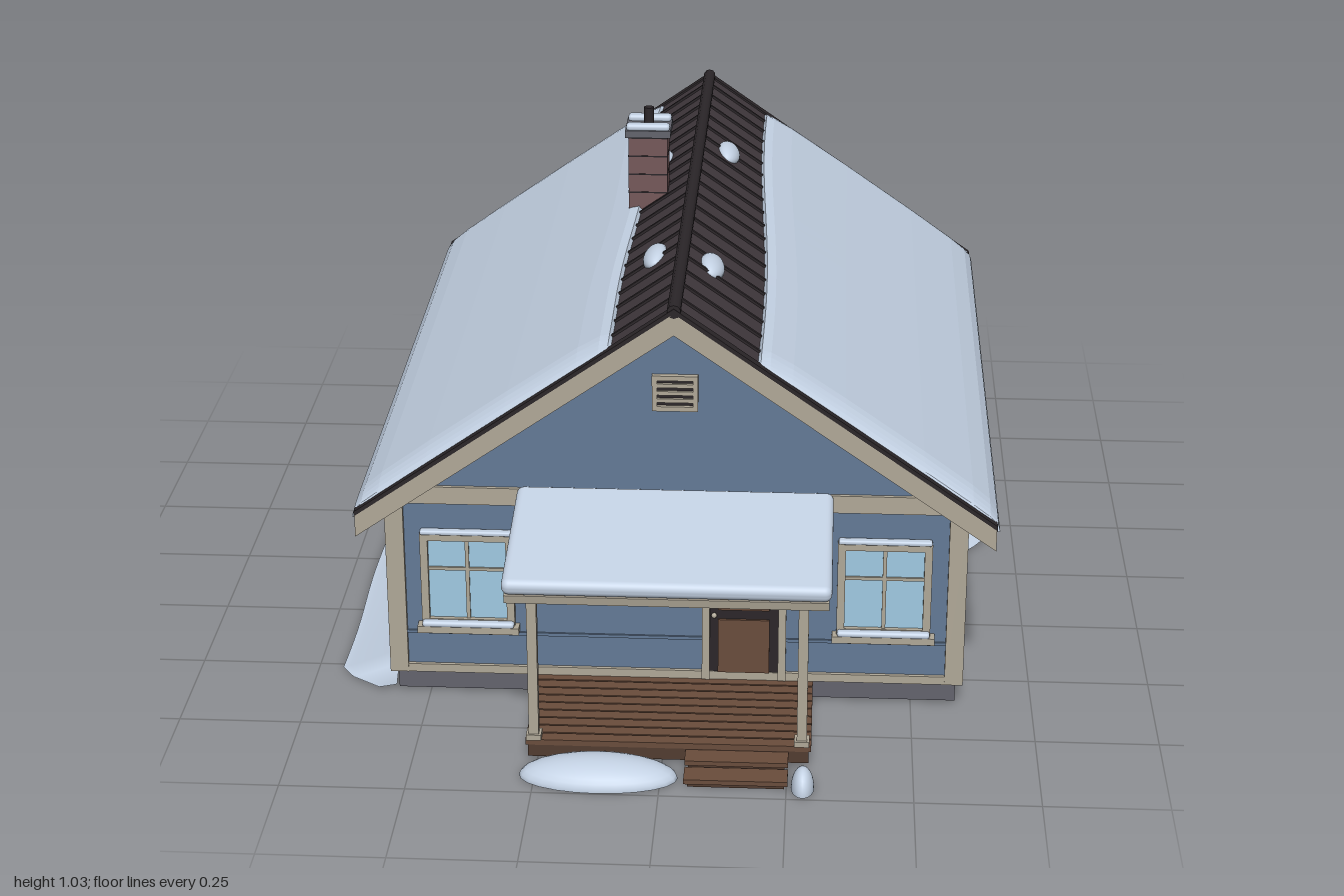
import * as THREE from 'three';
import { RoundedBoxGeometry } from 'three/addons/geometries/RoundedBoxGeometry.js';
import { ParametricGeometry } from 'three/addons/geometries/ParametricGeometry.js';

const paint = (color, side = THREE.FrontSide) => new THREE.MeshStandardMaterial({ color, side });
const WALL = paint(0x647a96), TRIM = paint(0xb0a898), ROOF = paint(0x40383d), DARK = paint(0x2b2629),
  WOOD = paint(0x6a4d3c), DECK = paint(0x523c31), GLASS = paint(0xa0cae2), BRICK = paint(0x75585a),
  STONE = paint(0x63646d), FLOOR = paint(0x3a2e26), SNOW = paint(0xc4d2e4, THREE.DoubleSide);

// House proportions, measured from the house's own centre line
const HW = 0.585, ZF = 0.606, ZB = -0.863, RIDGE = 0.885, K = 0.7, RW = 0.645, RF = 0.655, RB = -0.917;
const roofY = x => RIDGE - K * Math.abs(x);

function add(parent, name, geo, mat, x = 0, y = 0, z = 0) {
  const m = new THREE.Mesh(geo, mat);
  m.name = name;
  m.position.set(x, y, z);
  parent.add(m);
  return m;
}
// Box given by its limits on each axis
const box = (p, name, mat, x0, x1, y0, y1, z0, z1) =>
  add(p, name, new THREE.BoxGeometry(x1 - x0, y1 - y0, z1 - z0), mat, (x0 + x1) / 2, (y0 + y1) / 2, (z0 + z1) / 2);

function group(parent, name) {
  const g = new THREE.Group();
  g.name = name;
  parent.add(g);
  return g;
}
function prism(p, name, mat, points, z0, z1) {
  const shape = new THREE.Shape(points.map(([x, y]) => new THREE.Vector2(x, y)));
  return add(p, name, new THREE.ExtrudeGeometry(shape, { depth: z1 - z0, bevelEnabled: false }), mat, 0, 0, z0);
}
// Inverted V following both roof slopes
function chevron(p, name, mat, w, top, t, z0, z1) {
  const e = top - K * w;
  return prism(p, name, mat, [[0, top], [-w, e], [-w, e - t], [0, top - t], [w, e - t], [w, e]], z0, z1);
}

// Window facing +z, centred on its own origin
function makeWindow(parent, x, y, z, turn) {
  const g = group(parent, 'window'), w = 0.096, h = 0.105, f = 0.016;
  box(g, 'windowGlass', GLASS, -w + f, w - f, -h + f, h - f, -0.005, 0.004);
  for (const s of [-1, 1]) {
    const c = s * (w - f / 2), d = s * (h - f / 2);
    box(g, 'windowSideFrame', TRIM, c - f / 2, c + f / 2, -h, h, -0.005, 0.014);
    box(g, 'windowCrossFrame', TRIM, -w, w, d - f / 2, d + f / 2, -0.005, 0.014);
  }
  box(g, 'windowMullion', TRIM, -0.004, 0.004, -h + f, h - f, 0, 0.008);
  box(g, 'windowBar', TRIM, -w + f, w - f, 0.02, 0.027, 0, 0.008);
  box(g, 'windowSill', TRIM, -0.105, 0.105, -h - 0.012, -h + 0.003, -0.005, 0.026);
  add(g, 'sillSnow', new RoundedBoxGeometry(0.19, 0.013, 0.024, 2, 0.006), SNOW, 0, -h + 0.008, 0.016);
  add(g, 'headSnow', new RoundedBoxGeometry(0.19, 0.01, 0.018, 2, 0.004), SNOW, 0, h + 0.003, 0.009);
  g.position.set(x, y, z);
  g.rotation.y = turn;
}

function makeVent(parent, z, turn) {
  const g = group(parent, 'gableVent');
  box(g, 'ventBack', DARK, -0.04, 0.04, -0.033, 0.033, -0.005, 0.004);
  for (const s of [-1, 1]) {
    box(g, 'ventSide', TRIM, s * 0.041 - 0.005, s * 0.041 + 0.005, -0.038, 0.038, -0.005, 0.012);
    box(g, 'ventEdge', TRIM, -0.046, 0.046, s * 0.033 - 0.005, s * 0.033 + 0.005, -0.005, 0.012);
  }
  for (let i = -1; i <= 1; i++) box(g, 'ventSlat', TRIM, -0.037, 0.037, i * 0.016 - 0.004, i * 0.016 + 0.004, 0, 0.01);
  g.position.set(0, 0.693, z);
  g.rotation.y = turn;
}

// Snow blanket on one slope; s is the side, top(z) the wavy upper edge
function roofSnow(parent, s, top) {
  const z0 = -0.9, z1 = 0.642;
  const geo = new ParametricGeometry((u, v, out) => {
    const z = z0 + (z1 - z0) * (0.5 - 0.5 * Math.cos(Math.PI * u));
    const end = Math.pow(Math.min(1, Math.min(z - z0, z1 - z) / 0.05), 0.5);
    const x0 = top(z);
    // cross-section as [distance from ridge, height above the roof]
    const prof = [[x0, 0], [x0 + 0.006, 0.012], [x0 + 0.025, 0.021], [x0 + 0.07, 0.027], [0.34, 0.03], [0.5, 0.03],
      [0.6, 0.027], [0.635, 0.021], [0.651, 0.008], [0.655, -0.008], [0.645, -0.018], [0.625, -0.03]];
    const [x, d] = prof[Math.round(v * (prof.length - 1))];
    out.set(s * x, roofY(x) + (d > 0 ? d * (0.2 + 0.8 * end) : d), z);
  }, 40, 11);
  add(parent, 'roofSnow', geo, SNOW);
}

// Snow drift leaning on a wall: local x along the wall, z outwards
function drift(parent, length, reach, height, fullness, x, z, turn) {
  const geo = new ParametricGeometry((u, v, out) => {
    const e = Math.pow(Math.min(1, Math.sin(Math.PI * u) * fullness), 0.6);
    const wave = 1 - 0.05 * (1 + Math.sin(u * 17)) * (1 - v * 0.2) * 0.5;
    out.set((u - 0.5) * length, 0.003 + height * (0.15 + 0.85 * e) * Math.pow(1 - v, 1.15), reach * v * (0.3 + 0.7 * e) * wave);
  }, 36, 8);
  add(parent, 'snowDrift', geo, SNOW, x, 0, z).rotation.y = turn;
}

function mound(parent, name, x, y, z, rx, ry, rz) {
  const m = add(parent, name, new THREE.SphereGeometry(1, 24, 8, 0, Math.PI * 2, 0, Math.PI / 2), SNOW, x, y, z);
  m.scale.set(rx, ry, rz);
  return m;
}

export function createModel() {
  const root = new THREE.Group();
  root.name = 'snowyCottage';
  const house = group(root, 'house');
  house.position.x = 0.0125;

  // Foundation, floor and walls
  box(house, 'foundation', STONE, -HW + 0.006, HW - 0.006, 0.006, 0.052, ZB + 0.006, ZF - 0.006);
  box(house, 'floor', FLOOR, -HW + 0.02, HW - 0.02, 0, 0.02, ZB + 0.02, ZF - 0.02);
  const eave = roofY(HW) - 0.02;
  prism(house, 'walls', WALL, [[-HW, 0.05], [HW, 0.05], [HW, eave], [0, RIDGE - 0.02], [-HW, eave]], ZB, ZF);

  // Trim on gable walls, side walls and corners
  for (const [z, s] of [[ZF, 1], [ZB, -1]]) {
    const strip = (name, w, y0, y1, d) => box(house, name, TRIM, -w, w, y0, y1, z - d, z + d);
    strip('gableBand', 0.55, 0.437, 0.475, 0.008);
    strip('skirtingBoard', HW, 0.05, 0.068, 0.008);
    box(house, 'wallBatten', WALL, -HW, HW, 0.138, 0.145, z - 0.004, z + 0.004);
    makeVent(house, z, s > 0 ? 0 : Math.PI);
  }
  for (const s of [-1, 1]) {
    const x = s * HW;
    box(house, 'eaveBand', TRIM, x - 0.008, x + 0.008, 0.39, 0.425, ZB, ZF);
    box(house, 'skirtingBoard', TRIM, x - 0.008, x + 0.008, 0.05, 0.068, ZB, ZF);
    box(house, 'wallBatten', WALL, x - 0.004, x + 0.004, 0.138, 0.145, ZB, ZF);
    for (const z of [ZF, ZB]) {
      const cx = x - s * 0.01, cz = z - Math.sign(z) * 0.01;
      box(house, 'cornerBoard', TRIM, cx - 0.019, cx + 0.019, 0.05, 0.44, cz - 0.019, cz + 0.019);
    }
    for (const z of [0.16, -0.415]) makeWindow(house, x, 0.272, z, s * Math.PI / 2);
    makeWindow(house, s * 0.427, 0.267, ZF, 0);
    makeWindow(house, s * 0.143, 0.267, ZB, Math.PI);
  }

  // Roof slab, bargeboards, seams and ridge
  chevron(house, 'roofSlab', ROOF, RW, RIDGE, 0.03, RB + 0.01, RF - 0.01);
  for (const z of [RF - 0.018, RB]) {
    chevron(house, 'bargeboard', TRIM, RW + 0.003, RIDGE - 0.004, 0.048, z, z + 0.018);
    chevron(house, 'roofEdge', DARK, RW + 0.004, RIDGE + 0.005, 0.01, z - 0.002, z + 0.02);
  }
  for (let i = 1; i < 20; i++) {
    const z = RB + i * (RF - RB) / 20;
    chevron(house, 'roofSeam', DARK, RW, RIDGE + 0.006, 0.01, z - 0.004, z + 0.004);
  }
  const cap = add(house, 'ridgeCap', new THREE.CylinderGeometry(0.014, 0.014, RF - RB, 10), DARK, 0, RIDGE - 0.002, (RF + RB) / 2);
  cap.rotation.x = Math.PI / 2;

  // Snow on the roof
  roofSnow(house, -1, z => 0.122 + 0.012 * z + 0.004 * Math.sin(z * 7));
  roofSnow(house, 1, z => 0.155 + 0.018 * z + 0.007 * Math.sin(z * 4 + 0.8));
  for (const [x, z] of [[-0.085, -0.42], [0.065, -0.45], [-0.062, 0.24], [0.06, 0.295]]) {
    const m = mound(house, 'snowPatch', x, roofY(x), z, 0.028, 0.02, 0.055);
    m.rotation.z = -Math.sign(x) * Math.atan(K);
  }
  // Icicles under the eaves
  for (const s of [-1, 1]) for (let i = 0; i < 9; i++) {
    const h = 0.02 + 0.025 * Math.abs(Math.sin(i * 2.3 + s));
    const c = add(house, 'icicle', new THREE.ConeGeometry(0.005, h, 6), SNOW, s * 0.637, 0.408 - h / 2, 0.32 + i * 0.028);
    c.rotation.x = Math.PI;
  }

  // Chimney with brick courses, cap and flue
  const chimney = group(house, 'chimney');
  chimney.position.set(-0.1025, 0, -0.2);
  box(chimney, 'chimneyShaft', BRICK, -0.043, 0.043, 0.76, 0.975, -0.043, 0.043);
  for (let y = 0.8; y < 0.97; y += 0.042) box(chimney, 'mortarCourse', DARK, -0.0438, 0.0438, y, y + 0.003, -0.0438, 0.0438);
  box(chimney, 'chimneyCap', STONE, -0.05, 0.05, 0.972, 0.988, -0.05, 0.05);
  for (const s of [-1, 1]) add(chimney, 'capSnow', new RoundedBoxGeometry(0.096, 0.016, 0.026, 2, 0.007), SNOW, 0, 0.993, s * 0.034);
  add(chimney, 'flue', new THREE.CylinderGeometry(0.011, 0.011, 0.05, 12), DARK, 0, 1.003, 0);

  // Front door
  const door = group(house, 'frontDoor');
  box(door, 'doorLeaf', DARK, 0.07, 0.212, 0.052, 0.362, ZF - 0.01, ZF + 0.006);
  for (const [a, b] of [[0.068, 0.19], [0.212, 0.345]]) box(door, 'doorPanel', WOOD, 0.088, 0.194, a, b, ZF, ZF + 0.011);
  for (const x of [0.055, 0.212]) box(door, 'doorJamb', TRIM, x, x + 0.016, 0.052, 0.378, ZF - 0.01, ZF + 0.014);
  box(door, 'doorHead', TRIM, 0.055, 0.228, 0.362, 0.38, ZF - 0.01, ZF + 0.014);
  add(door, 'doorKnob', new THREE.SphereGeometry(0.006, 10, 8), TRIM, 0.08, 0.2, ZF + 0.012);

  // Porch deck, steps, posts and lean-to roof
  const porch = group(house, 'porch');
  box(porch, 'deckFrame', DECK, -0.28, 0.28, 0.012, 0.038, ZF, 0.88);
  for (let i = 0; i < 9; i++) box(porch, 'deckPlank', WOOD, -0.285, 0.285, 0.038, 0.05, ZF + i * 0.031, ZF + i * 0.031 + 0.027);
  for (const [y, z] of [[0.036, 0.925], [0.02, 0.97]]) {
    box(porch, 'stepTread', WOOD, 0.035, 0.24, y - 0.01, y, z - 0.05, z);
    box(porch, 'stepRiser', DECK, 0.042, 0.233, 0, y - 0.01, z - 0.05, z - 0.008);
  }
  for (const x of [-0.268, 0.266]) {
    box(porch, 'porchPost', TRIM, x - 0.01, x + 0.01, 0.05, 0.39, 0.86, 0.88);
    box(porch, 'postBase', TRIM, x - 0.015, x + 0.015, 0.05, 0.062, 0.855, 0.885);
    box(porch, 'sideBeam', TRIM, x - 0.009, x + 0.009, 0.38, 0.4, ZF, 0.87);
  }
  box(porch, 'frontBeam', TRIM, -0.285, 0.283, 0.38, 0.402, 0.858, 0.882);
  const lean = group(porch, 'porchRoof');
  lean.position.set(0, 0.427, 0.772);
  lean.rotation.x = 0.165;
  box(lean, 'porchRoofBoard', TRIM, -0.315, 0.315, -0.02, -0.002, -0.165, 0.165);
  add(lean, 'porchRoofSnow', new RoundedBoxGeometry(0.64, 0.034, 0.338, 4, 0.015), SNOW, 0, 0.014, 0);

  // Drifts and mounds around the house
  drift(root, 1.25, 0.14, 0.07, 5, 0.005, ZB, Math.PI);
  drift(root, 1.47, 0.128, 0.05, 6, -0.572, -0.135, -Math.PI / 2);
  drift(root, 0.45, 0.1, 0.042, 1.6, 0.597, -0.325, Math.PI / 2);
  mound(root, 'snowMound', -0.123, 0, 0.932, 0.158, 0.043, 0.066);
  mound(root, 'smallSnowMound', 0.282, 0, 0.955, 0.023, 0.045, 0.04);
  return root;
}
